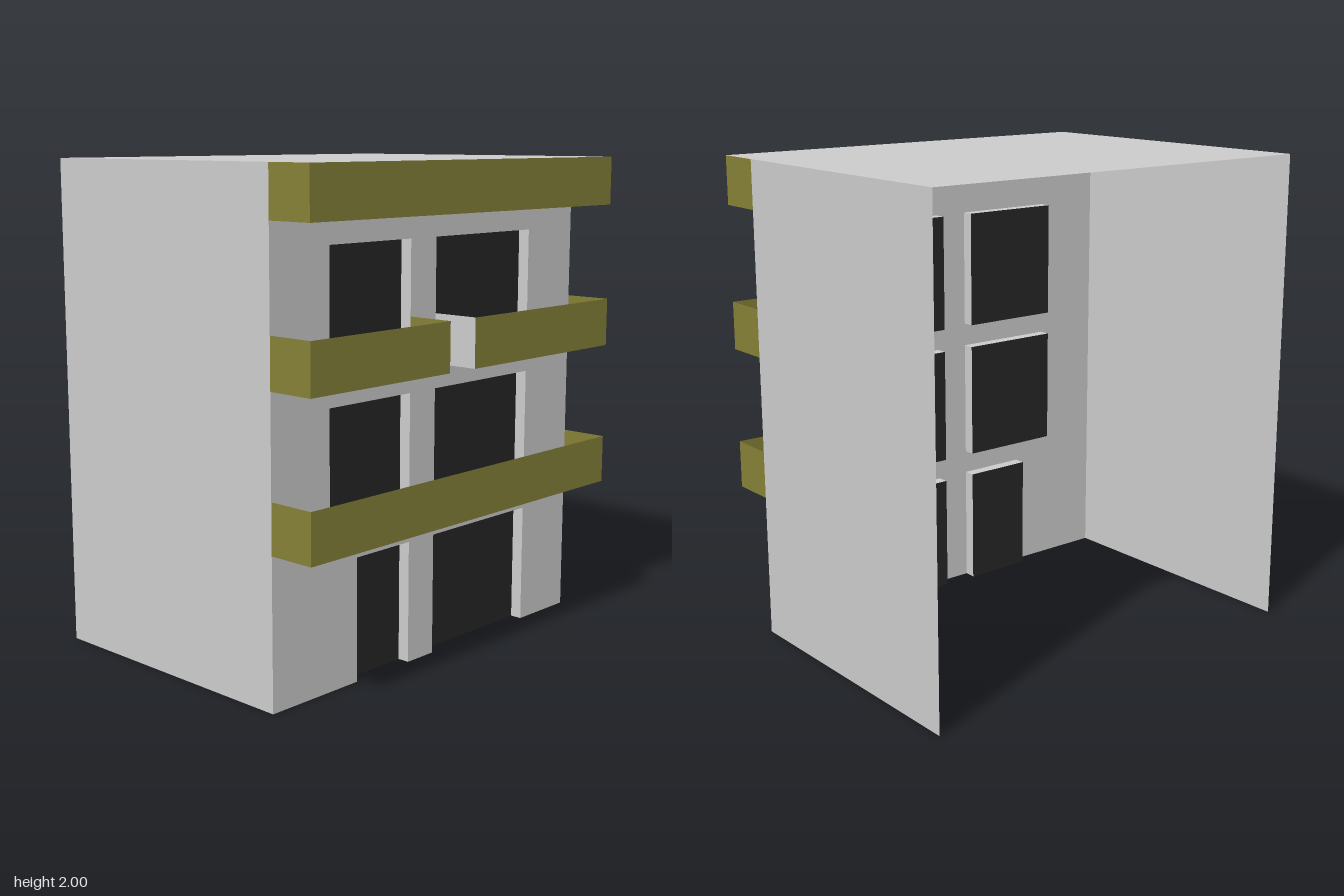
import * as THREE from 'three';

const material = (color) => new THREE.MeshStandardMaterial({ color, side: THREE.DoubleSide });
const GREY = material(0xcccccc);
const OLIVE = material(0x858137);
const DARK = material(0x262626);

// Flat four-sided panel from a corner and two edge vectors; it faces u x v.
function panel(name, mat, corner, u, v) {
  const a = new THREE.Vector3(...corner);
  const b = a.clone().add(new THREE.Vector3(...u));
  const d = a.clone().add(new THREE.Vector3(...v));
  const c = b.clone().add(d).sub(a);
  const geometry = new THREE.BufferGeometry().setFromPoints([a, b, c, d]);
  geometry.setIndex([0, 1, 2, 0, 2, 3]);
  geometry.computeVertexNormals();
  const mesh = new THREE.Mesh(geometry, mat);
  mesh.name = name;
  return mesh;
}

const FACE = 0.5, BACK = -0.7, EDGE = 0.7, HALF = 0.9, TOP = 2;
const RECESS = 0.05, RAIL = 0.2, OPENING = 0.5;

// Openings: [z min, z max, sill height]
const openings = [[0.15, 0.45, 0], [-0.6, 0, 0]];
for (const y of [0.6, 1.2]) openings.push([0.15, 0.6, y], [-0.6, 0, y]);

// Front wall with doorways notched into its foot and windows cut as holes
function facade() {
  const outline = [[-HALF, 0]];
  const holes = [];
  for (const [z0, z1, y] of openings) {
    const corners = [[-z1, y], [-z1, y + OPENING], [-z0, y + OPENING], [-z0, y]];
    if (y === 0) outline.push(...corners);
    else holes.push(corners);
  }
  outline.push([HALF, 0], [HALF, TOP], [-HALF, TOP]);
  const toPoints = (list) => list.map(([x, y]) => new THREE.Vector2(x, y));
  const shape = new THREE.Shape(toPoints(outline));
  for (const hole of holes) shape.holes.push(new THREE.Path(toPoints(hole)));
  const mesh = new THREE.Mesh(new THREE.ShapeGeometry(shape), GREY);
  mesh.geometry.rotateY(Math.PI / 2).translate(FACE, 0, 0);
  mesh.name = 'facade';
  return mesh;
}

// Recessed dark pane with its reveal
function recessedOpening([z0, z1, y]) {
  const group = new THREE.Group();
  group.name = y === 0 ? 'doorway' : 'window';
  const x = FACE - RECESS, w = z1 - z0;
  group.add(
    panel('pane', DARK, [x, y, z1], [0, 0, -w], [0, OPENING, 0]),
    panel('frontJamb', GREY, [FACE, y, z1], [-RECESS, 0, 0], [0, OPENING, 0]),
    panel('rearJamb', GREY, [x, y, z0], [RECESS, 0, 0], [0, OPENING, 0]),
    panel('lintel', GREY, [x, y + OPENING, z0], [RECESS, 0, 0], [0, 0, w]),
  );
  if (y > 0) group.add(panel('sill', GREY, [x, y, z1], [RECESS, 0, 0], [0, 0, -w]));
  return group;
}

// Thin-walled balcony, open on top
function balcony(name, y, z0, z1, frontEndMat = OLIVE) {
  const group = new THREE.Group();
  group.name = name;
  const d = EDGE - FACE, w = z1 - z0;
  group.add(
    panel('parapet', OLIVE, [EDGE, y, z1], [0, 0, -w], [0, RAIL, 0]),
    panel('frontEnd', frontEndMat, [FACE, y, z1], [d, 0, 0], [0, RAIL, 0]),
    panel('rearEnd', OLIVE, [EDGE, y, z0], [-d, 0, 0], [0, RAIL, 0]),
    panel('balconyFloor', OLIVE, [FACE, y, z0], [d, 0, 0], [0, 0, w]),
  );
  return group;
}

export function createModel() {
  const building = new THREE.Group();
  building.name = 'building';
  const depth = FACE - BACK;

  // Open-backed shell
  building.add(
    facade(),
    panel('frontSideWall', GREY, [BACK, 0, HALF], [depth, 0, 0], [0, TOP, 0]),
    panel('rearSideWall', GREY, [FACE, 0, -HALF], [-depth, 0, 0], [0, TOP, 0]),
    panel('roof', GREY, [BACK, TOP, HALF], [EDGE - BACK, 0, 0], [0, 0, -2 * HALF]),
  );
  for (const opening of openings) building.add(recessedOpening(opening));

  // Balconies and the roof overhang
  building.add(
    balcony('lowerBalcony', 0.6, -HALF, HALF),
    balcony('upperFrontBalcony', 1.2, 0.15, HALF),
    balcony('upperRearBalcony', 1.2, -HALF, 0, GREY),
    balcony('roofOverhang', 1.8, -HALF, HALF),
  );
  return building;
}
